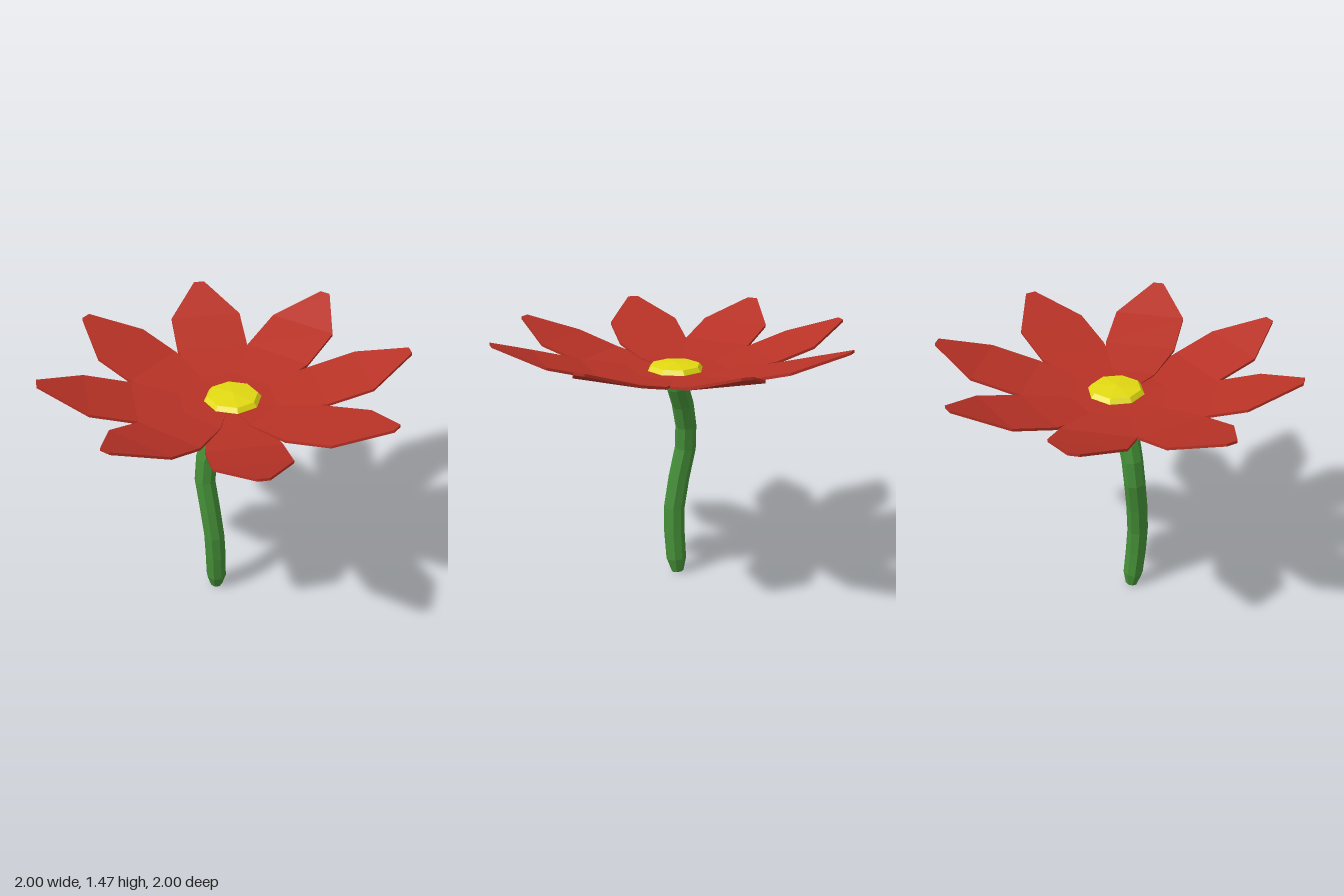
import * as THREE from 'three';

// Skin a list of matching closed cross-sections (counter-clockwise about the travel direction) and cap both ends.
function loft(rings) {
  const pos = [];
  const tri = (...pts) => pts.forEach((p) => pos.push(p.x, p.y, p.z));
  const n = rings[0].length;
  for (let i = 0; i < rings.length - 1; i++) {
    for (let j = 0; j < n; j++) {
      const k = (j + 1) % n;
      tri(rings[i][j], rings[i][k], rings[i + 1][k]);
      tri(rings[i][j], rings[i + 1][k], rings[i + 1][j]);
    }
  }
  const first = rings[0], last = rings[rings.length - 1];
  for (let j = 1; j < n - 1; j++) {
    tri(first[0], first[j + 1], first[j]);
    tri(last[0], last[j], last[j + 1]);
  }
  const geometry = new THREE.BufferGeometry();
  geometry.setAttribute('position', new THREE.Float32BufferAttribute(pos, 3));
  geometry.computeVertexNormals();
  return geometry;
}

const V = (x, y, z) => new THREE.Vector3(x, y, z);
const material = (color) => new THREE.MeshStandardMaterial({ color, flatShading: true });

// Petal along +x: [distance, half width, underside height]
const PETAL = [
  [0.05, 0.04, 1.243], [0.25, 0.14, 1.252], [0.5, 0.2, 1.29], [0.75, 0.2, 1.36], [1, 0.03, 1.457],
];
function petalGeometry(stretch, drop) {
  const t = 0.015;
  return loft(PETAL.map(([r, w, y], i) => {
    const x = r + (i > 2 ? stretch : 0);
    const h = y - drop * Math.min(1, r * 2);
    return [V(x, h, w), V(x, h, -w), V(x, h + t, -w), V(x, h + t, w)];
  }));
}

// Bent stem: [x, y, z, radius]
const STEM = [
  [-0.073, 0.01, 0.035, 0.035], [-0.075, 0.09, 0.045, 0.058], [-0.08, 0.25, 0.06, 0.06],
  [-0.088, 0.4, 0.065, 0.06], [-0.108, 0.58, 0.045, 0.06], [-0.13, 0.76, 0.015, 0.06],
  [-0.118, 0.9, 0.006, 0.06], [-0.075, 1.04, 0.005, 0.062], [-0.01, 1.16, 0.005, 0.062],
  [0.02, 1.245, 0.005, 0.05],
];
function stemGeometry() {
  const sides = 8;
  const points = STEM.map(([x, y, z]) => V(x, y, z));
  const rings = points.map((p, i) => {
    const ahead = points[Math.min(i + 1, points.length - 1)];
    const behind = points[Math.max(i - 1, 0)];
    const turn = new THREE.Quaternion().setFromUnitVectors(V(0, 1, 0), ahead.clone().sub(behind).normalize());
    return Array.from({ length: sides }, (_, j) => {
      const a = ((j + 0.5) / sides) * Math.PI * 2;
      return V(Math.cos(a), 0, -Math.sin(a)).multiplyScalar(STEM[i][3]).applyQuaternion(turn).add(p);
    });
  });
  return loft(rings);
}

export function createModel() {
  const flower = new THREE.Group();
  flower.name = 'flower';

  const stem = new THREE.Mesh(stemGeometry(), material(0x459038));
  stem.name = 'stem';
  flower.add(stem);

  // Eight petals, each varied slightly: [angle in degrees, extra length, lowering]
  const petals = new THREE.Group();
  petals.name = 'petals';
  const red = material(0xb83226);
  const layout = [
    [0, 0, 0], [46.2, 0.02, 0], [90, 0, 0], [135.5, -0.025, 0],
    [180, 0, 0], [223.8, -0.025, 0], [270, 0, 0.018], [315, 0.015, 0],
  ];
  for (const [angle, stretch, drop] of layout) {
    const petal = new THREE.Mesh(petalGeometry(stretch, drop), red);
    petal.name = 'petal';
    petal.rotation.y = THREE.MathUtils.degToRad(angle);
    petals.add(petal);
  }
  flower.add(petals);

  // Flattened eight-sided seed head
  const profile = [[0, 0], [0.12, 0.005], [0.157, 0.03], [0.137, 0.055], [0, 0.07]];
  const center = new THREE.Mesh(
    new THREE.LatheGeometry(profile.map(([r, y]) => new THREE.Vector2(r, y)), 8),
    material(0xe2d912),
  );
  center.name = 'flowerCenter';
  center.position.set(0.03, 1.235, -0.005);
  flower.add(center);

  return flower;
}
